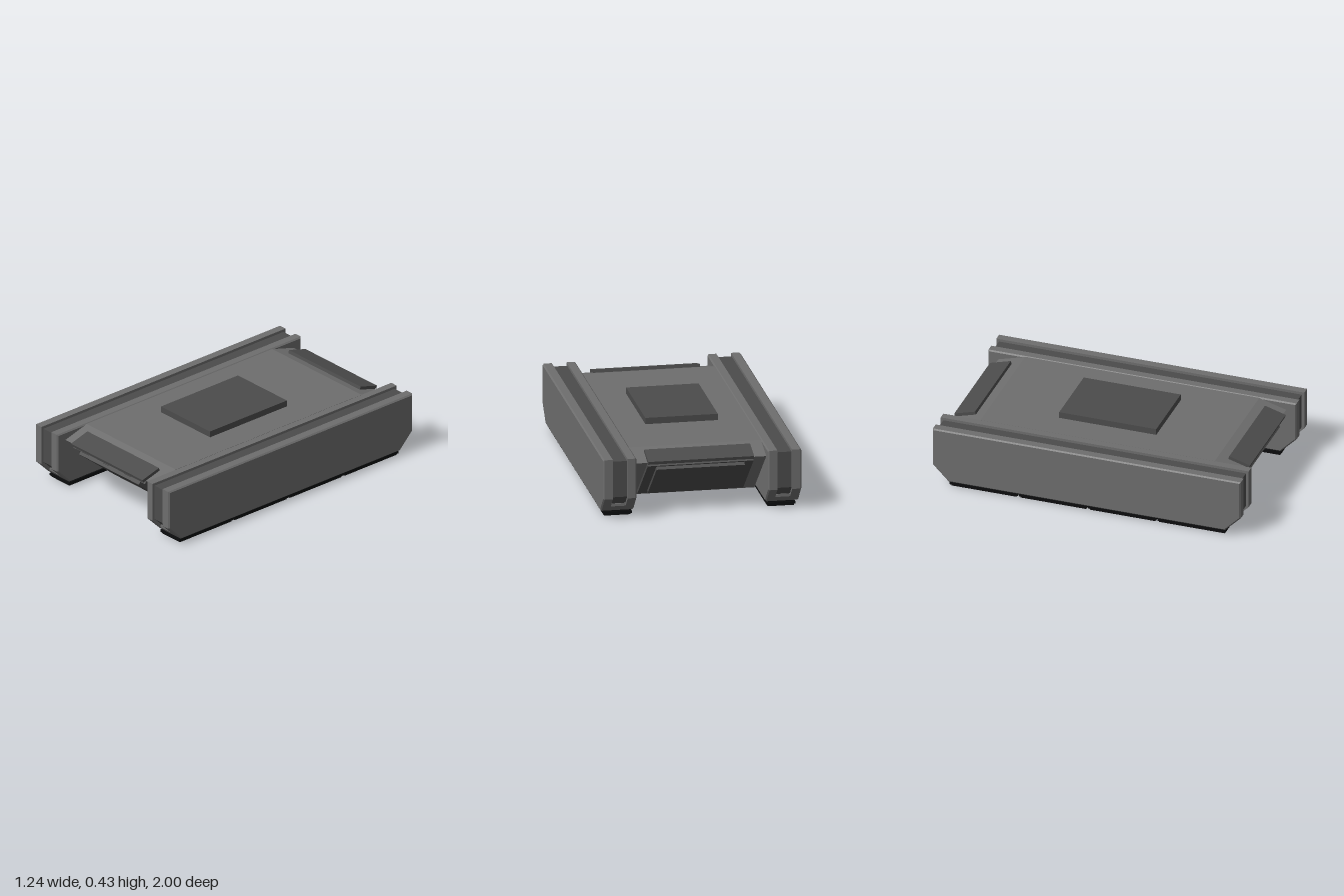
import * as THREE from 'three';

const material = (name, color) => {
  const m = new THREE.MeshStandardMaterial({ color });
  m.name = name;
  return m;
};

// Skins a row of [x, half profile] sections. Each half profile lists [z, y] from
// top to bottom and is mirrored in z; both ends are capped.
function loft(sections) {
  const pos = [];
  const rings = sections.map(([x, half]) => [
    ...half.map(([z, y]) => [x, y, z]),
    ...half.map(([z, y]) => [x, y, -z]).reverse(),
  ]);
  const n = rings[0].length;
  for (let s = 0; s < rings.length - 1; s++) {
    const a = rings[s], b = rings[s + 1];
    for (let i = 0; i < n; i++) {
      const j = (i + 1) % n;
      pos.push(...a[i], ...a[j], ...b[i], ...b[i], ...a[j], ...b[j]);
    }
  }
  const first = rings[0], last = rings[rings.length - 1];
  for (let i = 1; i < n - 1; i++) {
    pos.push(...first[0], ...first[i + 1], ...first[i]);
    pos.push(...last[0], ...last[i], ...last[i + 1]);
  }
  const g = new THREE.BufferGeometry();
  g.setAttribute('position', new THREE.Float32BufferAttribute(pos, 3));
  g.computeVertexNormals();
  return g;
}

// Side outline of a pod, shrunk evenly by d
const podProfile = (d) => [[1 - d, 0.393 - d], [1 - d, 0.14 + 0.41 * d], [0.897 - 0.41 * d, 0.037 + d]];

export function createModel() {
  const grey = material('hull grey', 0x6e6e6e);
  const darkGrey = material('panel dark grey', 0x4c4c4c);
  const black = material('pad black', 0x0c0d0e);
  const teal = material('glow teal', 0x00b4aa);

  const model = new THREE.Group();
  model.name = 'hoverPlatform';

  const add = (parent, name, geometry, mat, x = 0, y = 0, z = 0) => {
    const mesh = new THREE.Mesh(geometry, mat);
    mesh.name = name;
    mesh.position.set(x, y, z);
    parent.add(mesh);
    return mesh;
  };
  const box = (parent, name, w, h, d, mat, x, y, z) =>
    add(parent, name, new THREE.BoxGeometry(w, h, d), mat, x, y, z);

  // Central hull with wedge-shaped ends
  const hull = [[0.76, 0.39], [0.935, 0.34], [0.54, 0.017]];
  add(model, 'hull', loft([[-0.412, hull], [0.412, hull]]), grey);

  // Raised hatch on the deck
  box(model, 'hatch', 0.452, 0.05, 0.63, darkGrey, 0, 0.405, 0);

  // Plate lying on the line from a to b ([z, y]), raised along its outward normal
  const slopePlate = (parent, name, w, a, b, thick) => {
    const dz = b[0] - a[0], dy = b[1] - a[1], len = Math.hypot(dz, dy);
    const nz = -dy / len, ny = dz / len;
    const mesh = box(parent, name, w, thick, len, darkGrey, 0,
      (a[1] + b[1]) / 2 + ny * thick / 2, (a[0] + b[0]) / 2 + nz * thick / 2);
    mesh.rotation.x = Math.atan2(-dy, dz);
  };
  // Point on the lower slope of the hull at height y
  const onSlope = (y) => [0.54 + (y - 0.017) * (0.395 / 0.323), y];

  for (const front of [true, false]) {
    const end = new THREE.Group();
    end.name = front ? 'frontPanels' : 'backPanels';
    if (!front) end.rotation.y = Math.PI;
    slopePlate(end, 'upperPlate', 0.66, [0.82, 0.373], [0.955, 0.334], 0.02);
    slopePlate(end, 'lowerPlate', 0.66, onSlope(0.335), onSlope(0.055), 0.02);
    slopePlate(end, 'lowerDoor', 0.55, onSlope(0.326), onSlope(0.083), 0.04);
    model.add(end);
  }

  // Side pods: two bevelled rails with a recessed dark channel between them
  const full = podProfile(0), bevel = podProfile(0.008);
  const channel = podProfile(0.017);
  const sill = [[0.933, 0.09], [0.933, 0.073], [0.897, 0.037]];
  for (const side of [1, -1]) {
    const pod = new THREE.Group();
    pod.name = side > 0 ? 'leftPod' : 'rightPod';
    pod.position.x = side * 0.514;
    if (side < 0) pod.rotation.y = Math.PI;

    add(pod, 'innerRail', loft([[-0.104, bevel], [-0.096, full], [-0.047, full]]), grey);
    add(pod, 'outerRail', loft([[0.045, full], [0.096, full], [0.104, bevel]]), grey);
    add(pod, 'channel', loft([[-0.048, channel], [0.046, channel]]), darkGrey);
    add(pod, 'sill', loft([[-0.048, sill], [0.046, sill]]), grey);

    // Four stepped pads underneath, each with a glowing strip
    for (let i = 0; i < 4; i++) {
      const z = (i - 1.5) * 0.45;
      box(pod, 'padCore', 0.164, 0.038, 0.425, black, -0.004, 0.021, z);
      box(pod, 'padRim', 0.178, 0.016, 0.442, black, -0.004, 0.02, z);
      box(pod, 'glowStrip', 0.08, 0.006, 0.28, teal, -0.004, 0.003, z);
    }
    model.add(pod);
  }
  return model;
}
